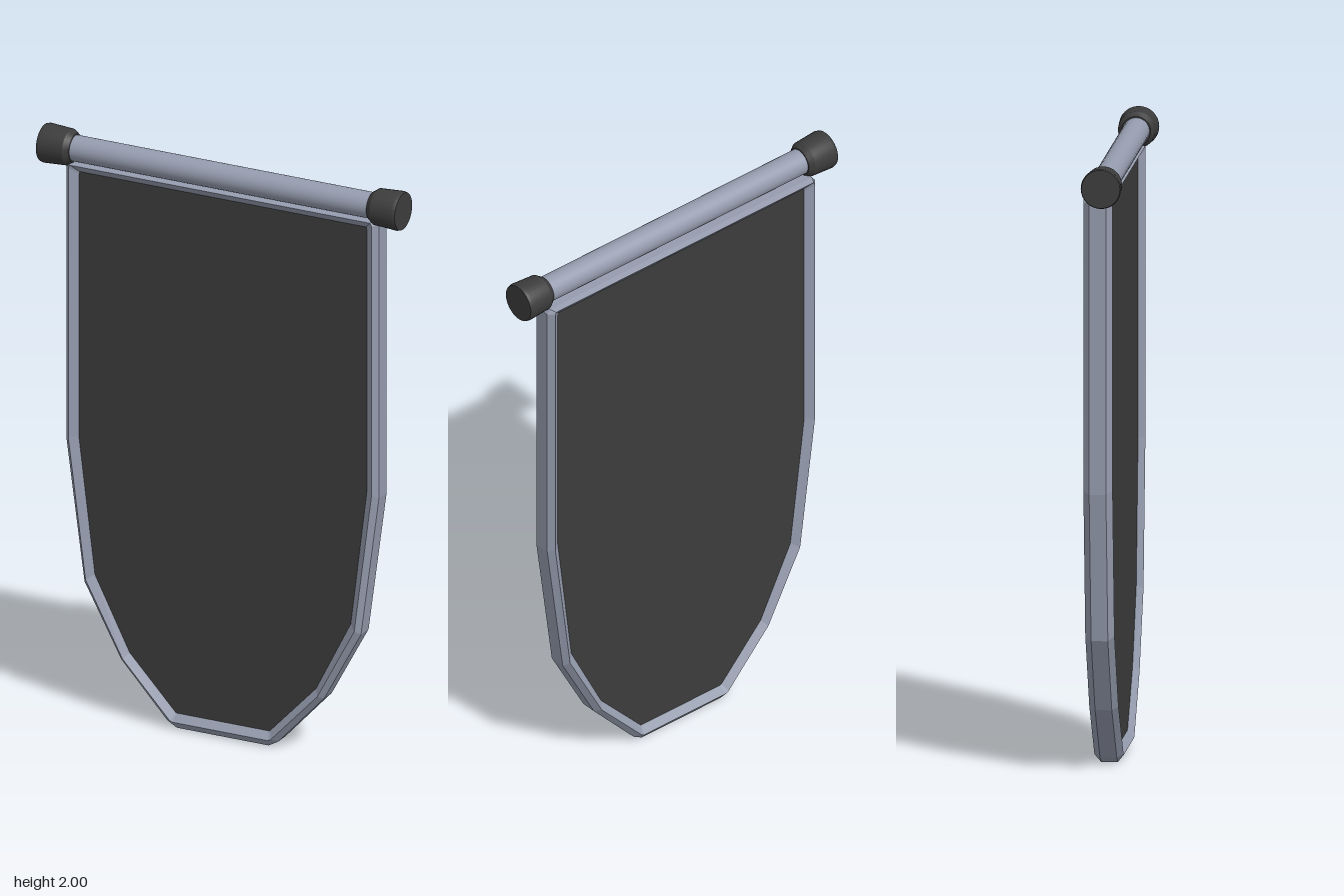
import * as THREE from 'three';
import { toCreasedNormals } from 'three/addons/utils/BufferGeometryUtils.js';

const metal = new THREE.MeshStandardMaterial({ color: 0x959cae });
const metalFlat = new THREE.MeshStandardMaterial({ color: 0x959cae, flatShading: true });
const dark = new THREE.MeshStandardMaterial({ color: 0x3c3c3c });

const ROD_Y = 1.935;
const FRAME_Z = -0.018;

// Half outlines (+x side, bottom to top) of the frame's outer edge, ridge and inner edge
const OUTER = [[0.165, 0], [0.2, 0.02], [0.365, 0.2], [0.497, 0.445], [0.562, 0.93], [0.562, 1.875], [0.55, 1.89]];
const RIDGE = [[0.172, 0.025], [0.182, 0.03], [0.35, 0.21], [0.483, 0.46], [0.545, 0.94], [0.545, 1.875], [0.54, 1.885]];
const INNER = [[0.165, 0.05], [0.17, 0.052], [0.335, 0.228], [0.46, 0.475], [0.518, 0.945], [0.518, 1.85], [0.516, 1.86]];

// Closed anticlockwise loop from a half outline
const mirrored = (half) => [...half, ...half.map(([x, y]) => [-x, y]).reverse()];

// Skin a series of closed loops, from inner front round the outside to inner back
function skinLoops(loops) {
  const n = loops[0].points.length;
  const positions = loops.flatMap(({ points, z }) => points.flatMap(([x, y]) => [x, y, z]));
  const index = [];
  for (let k = 0; k < loops.length - 1; k++) {
    for (let j = 0; j < n; j++) {
      const a = k * n + j, d = k * n + (j + 1) % n;
      index.push(a, a + n, d + n, a, d + n, d);
    }
  }
  const geometry = new THREE.BufferGeometry();
  geometry.setAttribute('position', new THREE.Float32BufferAttribute(positions, 3));
  geometry.setIndex(index);
  geometry.computeVertexNormals();
  return geometry;
}

function addMesh(parent, name, geometry, material) {
  const mesh = new THREE.Mesh(geometry, material);
  mesh.name = name;
  parent.add(mesh);
  return mesh;
}

export function createModel() {
  const group = new THREE.Group();
  group.name = 'hangingBanner';

  // Bevelled frame around the panel
  const section = [[INNER, 0.026], [RIDGE, 0.047], [OUTER, 0.027], [OUTER, -0.027], [RIDGE, -0.047], [INNER, -0.026]];
  const loops = section.map(([half, z]) => ({ points: mirrored(half), z }));
  addMesh(group, 'frame', skinLoops(loops), metalFlat).position.z = FRAME_Z;

  // Dark panel set into the frame
  const shape = new THREE.Shape(mirrored(INNER).map(([x, y]) => new THREE.Vector2(x, y)));
  const panel = new THREE.ExtrudeGeometry(shape, { depth: 0.052, bevelEnabled: false });
  addMesh(group, 'panel', panel, dark).position.z = FRAME_Z - 0.026;

  // Crossbar rod
  const rod = addMesh(group, 'rod', new THREE.CylinderGeometry(0.043, 0.043, 1.1, 32), metal);
  rod.rotation.z = Math.PI / 2;
  rod.position.y = ROD_Y;

  // Flared end caps
  const profile = [[0, 0.535], [0.047, 0.535], [0.06, 0.553], [0.065, 0.635], [0.062, 0.645], [0, 0.645]];
  const cap = toCreasedNormals(
    new THREE.LatheGeometry(profile.map(([r, h]) => new THREE.Vector2(r, h)), 32), 0.4);
  for (const [name, side] of [['leftCap', 1], ['rightCap', -1]]) {
    const mesh = addMesh(group, name, cap, dark);
    mesh.rotation.z = -side * Math.PI / 2;
    mesh.position.y = ROD_Y;
  }

  return group;
}
